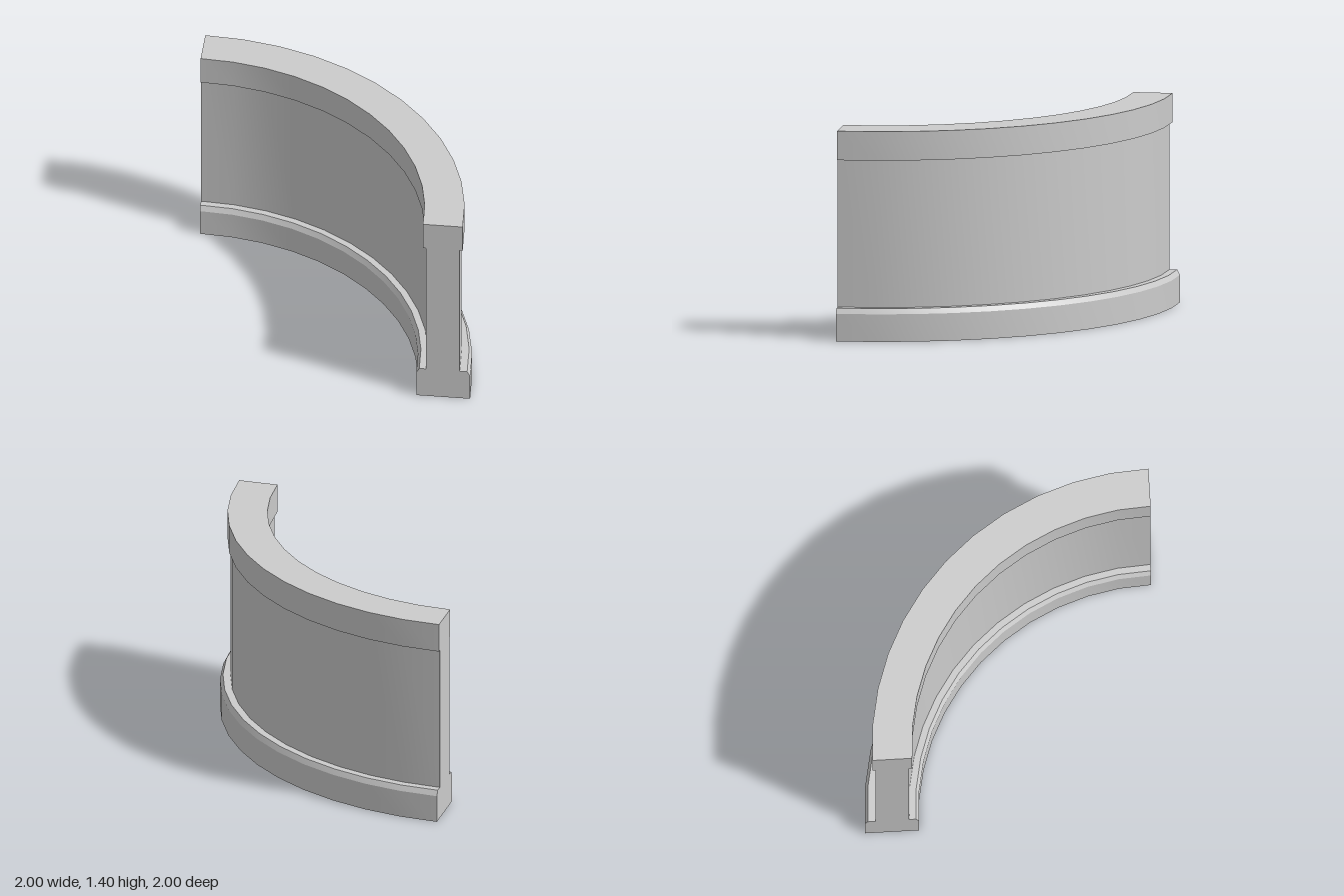
import * as THREE from 'three';
import { mergeGeometries, toCreasedNormals } from 'three/addons/utils/BufferGeometryUtils.js';

const SEGMENTS = 12;
const WALL_IN = 1.705, WALL_OUT = 1.93;
const BASE_TOP = 0.22, CAP_BOTTOM = 1.21, TOP = 1.405;

const material = new THREE.MeshStandardMaterial({ color: 0xcccccc });

// Sweeps strips of [radius, y] (counter-clockwise) through a quarter turn and closes both ends.
function quarterSweep(name, strips) {
  const sides = strips.map((strip) => {
    const points = strip.map(([r, y]) => new THREE.Vector2(r, y));
    const lathe = new THREE.LatheGeometry(points, SEGMENTS, Math.PI / 2, Math.PI / 2);
    return toCreasedNormals(lathe, THREE.MathUtils.degToRad(20));
  });
  const endFace = (sign) => {
    const outline = strips.flat().map(([r, y]) => new THREE.Vector2(sign * r, y));
    return new THREE.ShapeGeometry(new THREE.Shape(outline)).toNonIndexed();
  };
  const frontEnd = endFace(1);
  const sideEnd = endFace(-1).rotateY(-Math.PI / 2);
  const mesh = new THREE.Mesh(mergeGeometries([...sides, frontEnd, sideEnd]), material);
  mesh.name = name;
  return mesh;
}

export function createModel() {
  const group = new THREE.Group();
  group.name = 'curvedWall';

  // Plinth with bevelled upper edges
  const base = quarterSweep('base', [[
    [WALL_IN, BASE_TOP], [1.66, BASE_TOP], [1.64, 0.185], [1.64, 0],
    [2, 0], [2, 0.185], [1.98, BASE_TOP], [WALL_OUT, BASE_TOP],
  ]]);

  // Plain wall: outer and inner skins
  const wall = quarterSweep('wall', [
    [[WALL_OUT, BASE_TOP], [WALL_OUT, CAP_BOTTOM]],
    [[WALL_IN, CAP_BOTTOM], [WALL_IN, BASE_TOP]],
  ]);

  // Coping band, slightly proud of the wall
  const cap = quarterSweep('cap', [[
    [WALL_OUT, CAP_BOTTOM], [1.95, CAP_BOTTOM], [1.95, TOP],
    [1.685, TOP], [1.685, CAP_BOTTOM], [WALL_IN, CAP_BOTTOM],
  ]]);

  // The arc is centred on the front right corner
  for (const part of [base, wall, cap]) {
    part.position.set(-1, 0, 1);
    group.add(part);
  }
  return group;
}
